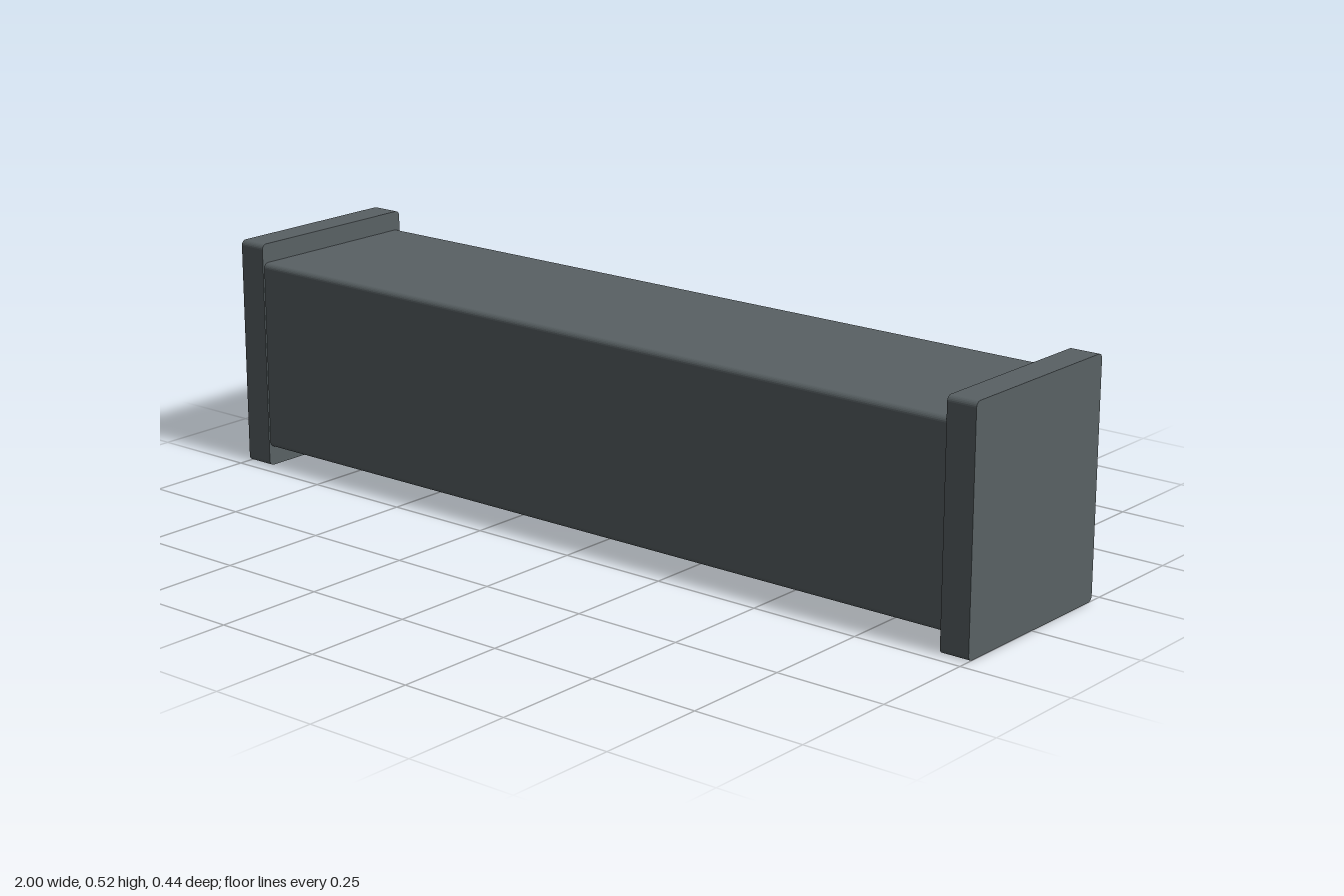
import * as THREE from 'three';

// Rounded rectangle section (depth z, height y) swept along x
function roundedBar(length, height, depth, r) {
  const w = depth / 2, h = height / 2;
  const s = new THREE.Shape();
  s.moveTo(-w + r, -h);
  s.lineTo(w - r, -h);
  s.absarc(w - r, -h + r, r, -Math.PI / 2, 0);
  s.lineTo(w, h - r);
  s.absarc(w - r, h - r, r, 0, Math.PI / 2);
  s.lineTo(-w + r, h);
  s.absarc(-w + r, h - r, r, Math.PI / 2, Math.PI);
  s.lineTo(-w, -h + r);
  s.absarc(-w + r, -h + r, r, Math.PI, Math.PI * 1.5);
  const g = new THREE.ExtrudeGeometry(s, { depth: length, bevelEnabled: false, curveSegments: 3 });
  g.translate(0, 0, -length / 2);
  g.rotateY(Math.PI / 2);
  return g;
}

export function createModel() {
  const group = new THREE.Group();
  const slate = new THREE.MeshStandardMaterial({ color: 0x596164 });
  slate.name = 'slateGrey';

  const add = (name, geometry, x) => {
    const mesh = new THREE.Mesh(geometry, slate);
    mesh.name = name;
    mesh.position.set(x, 0.262, 0);
    group.add(mesh);
  };

  // Long central beam
  add('beam', roundedBar(1.866, 0.435, 0.434, 0.012), 0);

  // Taller flange at each end
  const flange = roundedBar(0.067, 0.523, 0.442, 0.012);
  add('leftFlange', flange, 0.9665);
  add('rightFlange', flange, -0.9665);

  return group;
}
